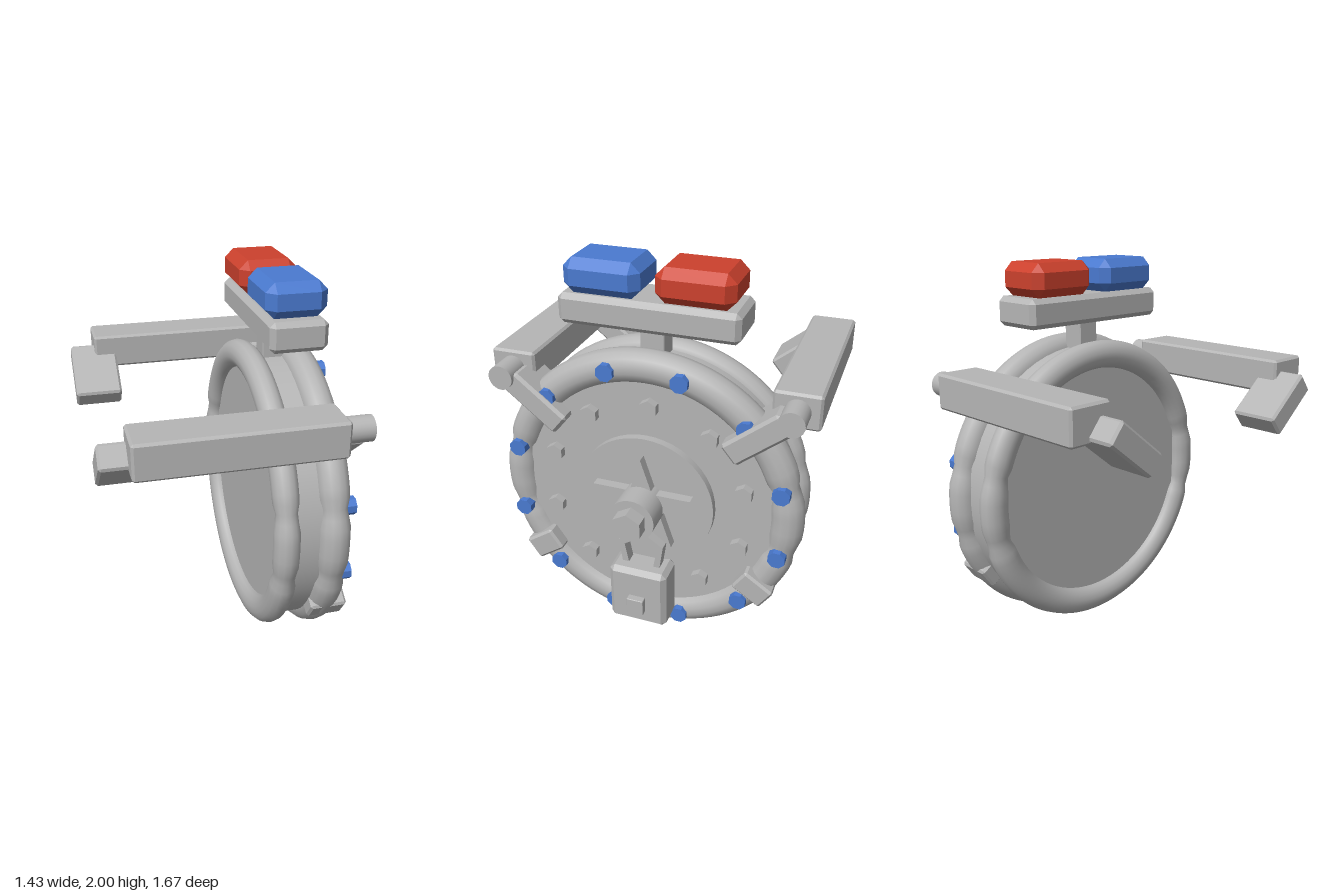
import * as THREE from 'three';
import { ConvexGeometry } from 'three/addons/geometries/ConvexGeometry.js';

const CY = 0.8; // height of the wheel axis

export function createModel() {
  const model = new THREE.Group();
  model.name = 'wheelDevice';
  const gray = new THREE.MeshStandardMaterial({ color: 0xb5b5b5 });
  const blue = new THREE.MeshStandardMaterial({ color: 0x4a7ad0 });
  const red = new THREE.MeshStandardMaterial({ color: 0xcc412d });
  gray.name = 'gray metal';
  blue.name = 'blue';
  red.name = 'red';

  const add = (name, geometry, material, x, y, z, rx = 0) => {
    const mesh = new THREE.Mesh(geometry, material);
    mesh.name = name;
    mesh.position.set(x, y, z);
    mesh.rotation.x = rx;
    model.add(mesh);
    return mesh;
  };

  // Box with chamfered edges: every corner becomes three points
  const chamferBox = (w, h, d, b) => {
    const pts = [];
    for (const i of [-1, 1]) for (const j of [-1, 1]) for (const k of [-1, 1]) {
      const [x, y, z] = [w / 2, h / 2, d / 2];
      pts.push(new THREE.Vector3(i * x, j * (y - b), k * (z - b)));
      pts.push(new THREE.Vector3(i * (x - b), j * y, k * (z - b)));
      pts.push(new THREE.Vector3(i * (x - b), j * (y - b), k * z));
    }
    return new ConvexGeometry(pts);
  };
  const box = (name, material, x0, x1, y0, y1, z0, z1, b) =>
    add(name, chamferBox(x1 - x0, y1 - y0, z1 - z0, b), material, (x0 + x1) / 2, (y0 + y1) / 2, (z0 + z1) / 2);

  // Cylinder lying along x between x0 and x1; few sides are faceted
  const disc = (name, material, r, x0, x1, y, z, sides = 48) => {
    let g = new THREE.CylinderGeometry(r, r, x1 - x0, sides);
    g.rotateZ(-Math.PI / 2);
    if (sides < 12) {
      g = g.toNonIndexed();
      g.computeVertexNormals();
    }
    return add(name, g, material, (x0 + x1) / 2, y, z);
  };

  // Extruded yz outline, its depth running along +x
  const plate = (name, shape, x0, x1) => {
    const g = new THREE.ExtrudeGeometry(shape, { depth: x1 - x0, bevelEnabled: false });
    g.rotateY(Math.PI / 2);
    return add(name, g, gray, x0, CY, 0);
  };

  // Tyre-like rings, pinched in at both sides
  const ring = (name, R, tube, halfWidth, x) => {
    const g = new THREE.TorusGeometry(R, tube, 14, 96);
    const p = g.attributes.position;
    for (let i = 0; i < p.count; i++) {
      const px = p.getX(i), py = p.getY(i);
      const radius = Math.hypot(px, py);
      const a = Math.atan2(Math.abs(py), Math.abs(px));
      const s = 1 - 0.2 * Math.exp(-(((a - 0.24) / 0.06) ** 2));
      const k = (R + (radius - R) * s) / radius;
      p.setXYZ(i, px * k, py * k, (p.getZ(i) * s * halfWidth) / tube);
    }
    g.computeVertexNormals();
    // Keep normals equal across the seams
    const n = g.attributes.normal, row = 97;
    const weld = (a, b) => {
      const v = new THREE.Vector3().fromBufferAttribute(n, a)
        .add(new THREE.Vector3().fromBufferAttribute(n, b)).normalize();
      n.setXYZ(a, v.x, v.y, v.z);
      n.setXYZ(b, v.x, v.y, v.z);
    };
    for (let i = 0; i < row; i++) weld(i, 14 * row + i);
    for (let j = 0; j <= 14; j++) weld(j * row, j * row + 96);
    g.rotateY(Math.PI / 2);
    add(name, g, gray, x, CY, 0);
  };
  ring('outerRing', 0.715, 0.085, 0.08, 0.38);
  ring('backRing', 0.705, 0.075, 0.066, 0.146);

  // Drum, face plates and hub
  disc('drum', gray, 0.735, 0.14, 0.38, CY, 0, 64);
  disc('facePlate', gray, 0.67, 0.37, 0.42, CY, 0, 64);
  disc('centerPlate', gray, 0.36, 0.41, 0.46, CY, 0);
  disc('hub', gray, 0.115, 0.45, 0.64, CY, 0, 32);
  disc('hubNut', gray, 0.08, 0.63, 0.71, CY, 0, 6).rotation.x = Math.PI / 2;

  // Raised star
  const star = new THREE.Shape();
  for (let i = 0; i < 10; i++) {
    const a = Math.PI / 2 + (i * Math.PI) / 5, r = i % 2 ? 0.102 : 0.268;
    star[i ? 'lineTo' : 'moveTo'](r * Math.cos(a), r * Math.sin(a));
  }
  star.closePath();
  plate('star', star, 0.45, 0.51);

  // Hex bolts on the face
  for (let i = 0; i < 10; i++) {
    const a = (i * Math.PI) / 5 - 0.045;
    disc('faceBolt', gray, 0.047, 0.41, 0.46, CY + 0.525 * Math.cos(a), 0.525 * Math.sin(a), 6).rotation.x = Math.PI / 2;
  }
  // Blue studs round the outer ring
  for (let i = 0; i < 12; i++) {
    const a = ((i + 0.5) * Math.PI) / 6;
    disc('ringStud', blue, 0.046, 0.42, 0.48, CY + 0.715 * Math.cos(a), 0.715 * Math.sin(a), 8).rotation.x = Math.PI / 8;
  }

  // Padlock
  box('lockBody', gray, 0.42, 0.6, 0.11, 0.45, -0.155, 0.155, 0.025);
  box('lockButton', gray, 0.59, 0.635, 0.2, 0.29, -0.045, 0.045, 0.003);
  const shackle = new THREE.Shape([
    [-0.1, -0.36], [-0.12, -0.22], [0, -0.14], [0.12, -0.22], [0.1, -0.36],
    [0.065, -0.36], [0.088, -0.24], [0, -0.18], [-0.088, -0.24], [-0.065, -0.36],
  ].map(([x, y]) => new THREE.Vector2(x, y)));
  plate('lockShackle', shackle, 0.47, 0.53);

  // Mirrored clamps and arms
  for (const s of [1, -1]) {
    add('ringClamp', chamferBox(0.19, 0.13, 0.18, 0.012), gray, 0.395, 0.4, s * 0.58, s * 0.6);
    add('armLink', chamferBox(0.23, 0.125, 0.34, 0.015), gray, 0.385, 1.275, s * 0.56, -s * 0.68);
    disc('armPivot', gray, 0.063, 0.36, 0.52, 1.4, s * 0.72, 24);
    add('arm', chamferBox(0.975, 0.18, 0.232, 0.012), gray, -0.1025, 1.4, s * 0.717);
    add('armGrip', chamferBox(0.25, 0.125, 0.325, 0.012), gray, -0.595, 1.283, s * 0.573, -s * 0.68);
  }

  // Light bar
  box('lightPost', gray, 0.2, 0.32, 1.48, 1.7, -0.06, 0.06, 0.004);
  box('lightBar', gray, 0.12, 0.405, 1.68, 1.83, -0.445, 0.445, 0.025);
  box('blueLamp', blue, 0.11, 0.41, 1.83, 2, 0.035, 0.415, 0.045);
  box('redLamp', red, 0.11, 0.41, 1.83, 2, -0.415, -0.035, 0.045);
  return model;
}
